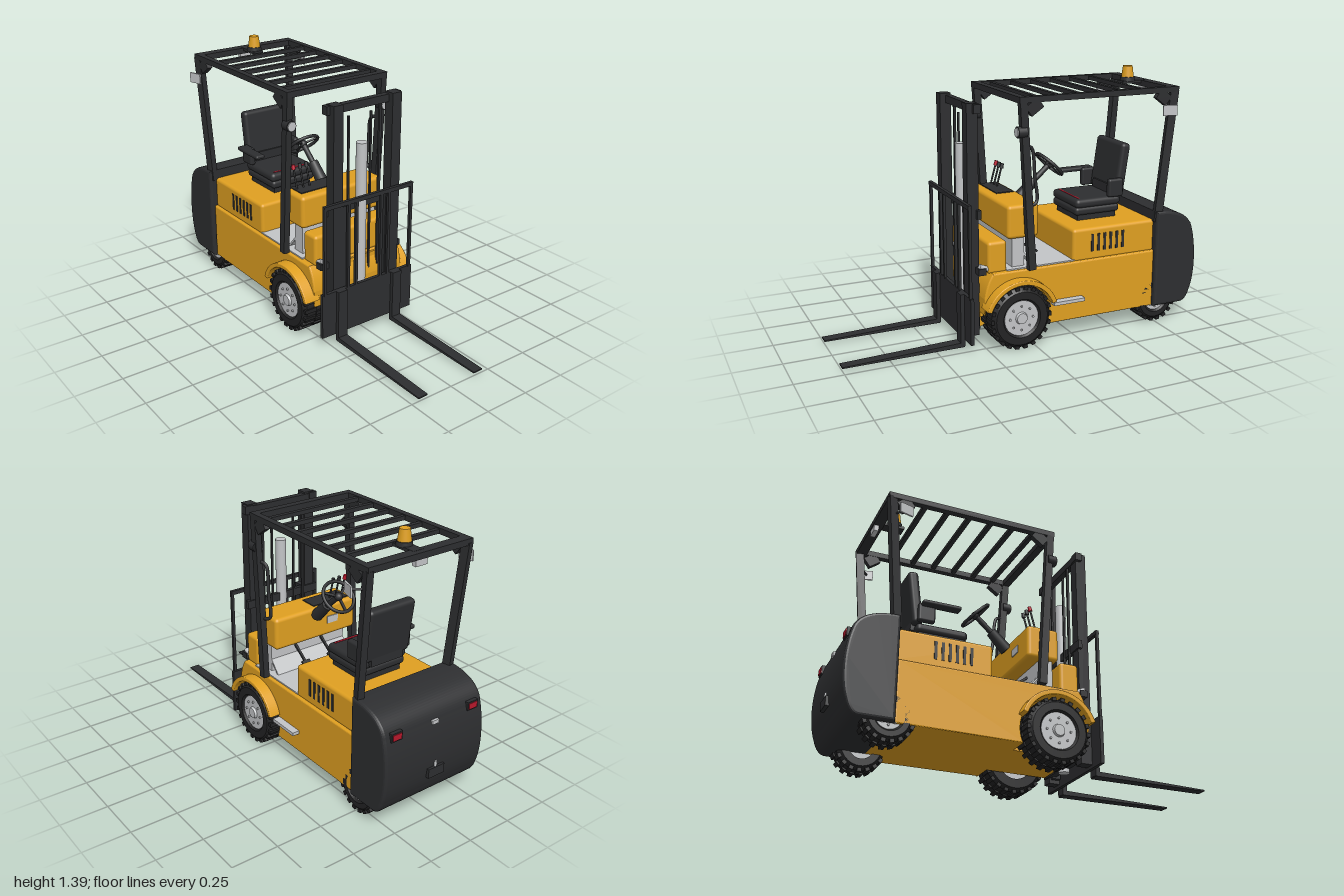
import * as THREE from 'three';
import { RoundedBoxGeometry } from 'three/addons/geometries/RoundedBoxGeometry.js';

const material = (name, color) => Object.assign(new THREE.MeshStandardMaterial({ color }), { name });
const V = (x, y, z) => new THREE.Vector3(x, y, z);

export function createModel() {
  const root = new THREE.Group();
  root.name = 'forklift';
  const yellow = material('yellow paint', 0xe0a021);
  const dark = material('dark steel', 0x2d2e30);
  const rubber = material('black rubber', 0x232324);
  const grey = material('light grey metal', 0xc3c5c7);
  const red = material('red', 0xb8182c);

  // ---- helpers ----
  const add = (name, geo, mat, x = 0, y = 0, z = 0, parent = root) => {
    const m = new THREE.Mesh(geo, mat);
    m.name = name;
    m.position.set(x, y, z);
    parent.add(m);
    return m;
  };
  // box given by its extents on each axis
  const box = (name, mat, [x0, x1], [y0, y1], [z0, z1], r = 0) => {
    const s = [x1 - x0, y1 - y0, z1 - z0];
    const geo = r ? new RoundedBoxGeometry(...s, 3, r) : new THREE.BoxGeometry(...s);
    return add(name, geo, mat, (x0 + x1) / 2, (y0 + y1) / 2, (z0 + z1) / 2);
  };
  const strut = (name, mat, a, b, w, h) => {
    const mid = a.clone().lerp(b, 0.5);
    const m = add(name, new THREE.BoxGeometry(w, h, a.distanceTo(b)), mat, mid.x, mid.y, mid.z);
    m.lookAt(b);
    return m;
  };
  const rod = (name, mat, a, b, r, r2 = r, sides = 16) => {
    const mid = a.clone().lerp(b, 0.5);
    const m = add(name, new THREE.CylinderGeometry(r2, r, a.distanceTo(b), sides), mat, mid.x, mid.y, mid.z);
    m.quaternion.setFromUnitVectors(V(0, 1, 0), b.clone().sub(a).normalize());
    return m;
  };
  // side outline (z, y) extruded across x
  const sideExtrude = (shape, width, bevel = 0) => {
    const geo = new THREE.ExtrudeGeometry(shape, {
      depth: width - 2 * bevel, bevelEnabled: bevel > 0, bevelSize: bevel,
      bevelThickness: bevel, bevelOffset: -bevel, bevelSegments: 3, curveSegments: 20,
    });
    return geo.translate(0, 0, bevel - width / 2).rotateY(-Math.PI / 2);
  };
  const both = (fn) => [-1, 1].forEach(fn);
  const span = (c, w) => [c - w / 2, c + w / 2];

  // ---- chassis with wheel arches ----
  const wz = 0.085, wy = 0.175;
  const body = new THREE.Shape();
  body.moveTo(-0.73, 0.1);
  body.lineTo(-0.085, 0.1);
  body.absarc(wz, wy, 0.186, Math.PI + 0.41, 0.13, true);
  body.lineTo(0.272, 0.29);
  body.quadraticCurveTo(0.262, 0.37, 0.225, 0.42);
  body.lineTo(-0.73, 0.42);
  add('chassis', sideExtrude(body, 0.58, 0.008), yellow);
  box('chassisCore', yellow, [-0.17, 0.17], [0.1, 0.4], [-0.15, 0.25]);
  const arch = new THREE.Shape();
  arch.absarc(wz, wy, 0.207, 0.33, Math.PI - 0.33, false);
  arch.absarc(wz, wy, 0.182, Math.PI - 0.33, 0.33, true);
  both((s) => add('fender', sideExtrude(arch, 0.09, 0.005), yellow, s * 0.305));

  // ---- hood, vents, cowl, floor ----
  box('hood', yellow, [-0.272, 0.272], [0.41, 0.59], [-0.74, -0.24], 0.018);
  both((s) => {
    for (let i = 0; i < 6; i++)
      box('hoodVent', dark, span(s * 0.272, 0.006), [0.46, 0.555], span(-0.355 - i * 0.037, 0.015));
  });
  box('lowerCowl', yellow, [-0.26, 0.26], [0.41, 0.58], [0.135, 0.24], 0.018);
  box('dashboard', yellow, [-0.26, 0.26], [0.58, 0.757], [-0.045, 0.13], 0.02);
  box('dashPlate', grey, [-0.14, -0.07], [0.65, 0.69], [-0.05, -0.044]);
  box('dashTray', dark, [-0.23, 0.0], [0.753, 0.762], [-0.02, 0.08]);
  box('floor', grey, [-0.272, 0.272], [0.415, 0.427], [-0.25, 0.14]);
  box('bulkhead', grey, [-0.24, 0.24], [0.42, 0.585], [0.03, 0.1]);
  strut('toePlate', grey, V(0, 0.42, -0.03), V(0, 0.5, 0.04), 0.48, 0.01);
  both((s) => {
    strut('pedalArm', dark, V(s * 0.085, 0.54, 0.03), V(s * 0.085, 0.46, -0.08), 0.012, 0.012);
    strut('pedal', dark, V(s * 0.085, 0.48, -0.06), V(s * 0.085, 0.445, -0.11), 0.05, 0.012);
  });

  // ---- counterweight and rear fittings ----
  const cw = new THREE.Shape();
  cw.moveTo(-0.73, 0.1);
  cw.lineTo(-0.73, 0.64);
  cw.bezierCurveTo(-0.86, 0.645, -0.95, 0.6, -0.965, 0.52);
  cw.bezierCurveTo(-0.995, 0.42, -1.0, 0.26, -0.965, 0.17);
  cw.quadraticCurveTo(-0.945, 0.1, -0.9, 0.1);
  cw.closePath();
  add('counterweight', sideExtrude(cw, 0.625, 0.015), dark);
  both((s) => {
    box('tailLightHousing', dark, span(s * 0.24, 0.065), [0.5, 0.545], [-0.977, -0.94]);
    box('tailLight', red, span(s * 0.24, 0.052), [0.507, 0.538], [-0.981, -0.975]);
  });
  box('rearLatch', grey, [-0.02, 0.02], [0.505, 0.525], [-0.977, -0.96]);
  box('towHitch', dark, [-0.05, 0.05], [0.23, 0.28], [-1.0, -0.96]);
  rod('towPin', grey, V(0, 0.27, -0.99), V(0, 0.31, -0.99), 0.007);

  // ---- wheels ----
  const wheel = (name, r, w, hub, x, y, z, lugs) => {
    const g = new THREE.Group();
    g.name = name;
    g.position.set(x, y, z);
    g.rotation.z = x > 0 ? -Math.PI / 2 : Math.PI / 2;
    root.add(g);
    const h = w / 2, t = r - 0.008;
    const pts = [[hub, -h], [t - 0.02, -h], [t, -h + 0.02], [t, h - 0.02], [t - 0.02, h], [hub + 0.01, h], [hub, h - 0.012]];
    add('tyre', new THREE.LatheGeometry(pts.map((p) => new THREE.Vector2(...p)), 40).toNonIndexed(), rubber, 0, 0, 0, g).geometry.computeVertexNormals();
    for (let i = 0; i < lugs; i++) {
      const a = (i / lugs) * Math.PI * 2;
      both((s) => {
        const b = a + (s > 0 ? Math.PI / lugs : 0);
        const m = add('treadLug', new THREE.BoxGeometry(0.018, w * 0.47, 0.022), rubber,
          Math.cos(b) * (r - 0.01), s * w * 0.235, Math.sin(b) * (r - 0.01), g);
        m.rotation.y = -b;
      });
    }
    add('rim', new THREE.CylinderGeometry(hub, hub, w - 0.02, 32), grey, 0, 0, 0, g);
    add('hubCap', new THREE.CylinderGeometry(hub * 0.3, hub * 0.36, 0.015, 24), grey, 0, h - 0.005, 0, g);
    for (let i = 0; i < 8; i++) {
      const a = (i / 8) * Math.PI * 2;
      add('wheelNut', new THREE.CylinderGeometry(0.006, 0.006, 0.01, 6), grey,
        Math.cos(a) * hub * 0.68, h - 0.007, Math.sin(a) * hub * 0.68, g);
    }
  };
  both((s) => {
    wheel('frontWheel', 0.172, 0.15, 0.095, s * 0.263, wy, wz, 22);
    wheel('rearWheel', 0.13, 0.12, 0.065, s * 0.23, 0.134, -0.755, 18);
  });
  rod('frontAxle', dark, V(-0.2, wy, wz), V(0.2, wy, wz), 0.04);

  // ---- mast ----
  both((s) => {
    box('outerMastRail', dark, span(s * 0.182, 0.058), [0.07, 1.285], [0.27, 0.33]);
    box('innerMastRail', dark, span(s * 0.14, 0.026), [0.09, 0.75], [0.28, 0.325]);
    box('mastTopBlock', dark, span(s * 0.205, 0.05), [1.235, 1.28], [0.262, 0.3]);
    box('liftChain', dark, span(s * 0.13, 0.014), [0.2, 1.225], span(0.26, 0.012));
    box('hose', dark, span(s * 0.07, 0.01), [0.2, 1.195], span(0.262, 0.01));
    rod('tiltCylinder', grey, V(s * 0.24, 0.42, 0.2), V(s * 0.24, 0.455, 0.28), 0.013);
    box('tiltBracket', dark, span(s * 0.235, 0.05), [0.41, 0.445], [0.25, 0.29]);
  });
  box('mastTopBeam', dark, [-0.2, 0.2], [1.235, 1.275], [0.265, 0.3]);
  box('mastMidBeam', dark, [-0.23, 0.23], [0.7, 0.745], [0.262, 0.285]);
  box('mastLowBeam', dark, [-0.2, 0.2], [0.1, 0.16], [0.262, 0.3]);
  rod('liftCylinder', grey, V(0, 0.08, 0.28), V(0, 1.05, 0.28), 0.029, 0.029, 28);

  // ---- carriage, load backrest and forks ----
  box('carriagePlate', dark, [-0.295, 0.295], [0.055, 0.305], [0.333, 0.352]);
  box('backrestTopBar', dark, [-0.285, 0.285], [0.77, 0.792], [0.338, 0.356]);
  both((s) => {
    [0.278, 0.13, 0.08].forEach((x) =>
      box('backrestBar', dark, span(s * x, 0.016), [0.3, 0.78], [0.339, 0.354]));
    box('forkShank', dark, span(s * 0.18, 0.057), [0.02, 0.305], [0.35, 0.373]);
    const blade = new THREE.Shape([[0.352, 0.015], [1, 0.017], [1, 0.024], [0.372, 0.04], [0.352, 0.04]]
      .map((p) => new THREE.Vector2(...p)));
    add('forkBlade', sideExtrude(blade, 0.057), dark, s * 0.18);
  });

  // ---- overhead guard ----
  both((s) => {
    const x = s * 0.297;
    strut('frontPost', dark, V(x, 0.42, 0.014), V(x, 1.29, 0.068), 0.034, 0.04);
    strut('rearPost', dark, V(x * 0.95, 0.58, -0.745), V(x, 1.295, -0.81), 0.034, 0.044);
    box('roofSideRail', dark, span(x, 0.034), [1.285, 1.315], [-0.83, 0.09]);
    strut('frontGusset', dark, V(x, 1.24, 0.04), V(x, 1.285, -0.025), 0.03, 0.06);
    strut('rearGusset', dark, V(x, 1.24, -0.77), V(x, 1.285, -0.71), 0.03, 0.06);
    // headlights and mirrors
    rod('headlightHousing', dark, V(x, 1.14, 0.05), V(x, 1.14, 0.098), 0.029, 0.029, 20);
    rod('headlightLens', grey, V(x, 1.14, 0.095), V(x, 1.14, 0.103), 0.023, 0.023, 20);
    rod('mirrorArm', dark, V(s * 0.3, 1.2, -0.79), V(s * 0.352, 1.2, -0.75), 0.006);
    const m = add('mirror', new THREE.BoxGeometry(0.009, 0.055, 0.075), grey, s * 0.358, 1.2, -0.75);
    m.rotation.y = -s * 0.28;
  });
  box('roofFrontBeam', dark, [-0.3, 0.3], [1.283, 1.315], [0.05, 0.09]);
  box('roofRearBeam', dark, [-0.3, 0.3], [1.283, 1.315], [-0.83, -0.775]);
  for (let i = 0; i < 6; i++)
    box('roofSlat', dark, [-0.29, 0.29], [1.288, 1.31], span(-0.02 - i * 0.122, 0.024));
  box('rearLamp', grey, [-0.035, 0.035], [1.25, 1.283], [-0.825, -0.8]);
  box('beaconBracket', dark, [-0.03, 0.03], [1.3, 1.316], [-0.8, -0.66]);
  rod('beaconBase', dark, V(0, 1.312, -0.705), V(0, 1.335, -0.705), 0.041, 0.038, 24);
  rod('beacon', yellow, V(0, 1.335, -0.705), V(0, 1.395, -0.705), 0.034, 0.026, 24);

  // ---- seat ----
  box('seatBase', dark, [-0.12, 0.12], [0.585, 0.63], [-0.58, -0.345]);
  box('seatLowerPad', dark, [-0.14, 0.14], [0.62, 0.665], [-0.595, -0.325], 0.018);
  box('seatCushion', dark, [-0.145, 0.145], [0.66, 0.71], [-0.6, -0.325], 0.022);
  box('seatStripe', red, [-0.115, 0.115], [0.706, 0.712], [-0.358, -0.349]);
  const back = add('seatBack', new RoundedBoxGeometry(0.285, 0.29, 0.055, 3, 0.02), dark, 0, 0.85, -0.61);
  back.rotation.x = -0.14;
  box('seatBackMount', dark, [-0.1, 0.1], [0.68, 0.76], [-0.62, -0.56]);
  both((s) => box('seatHinge', dark, span(s * 0.15, 0.035), [0.71, 0.81], [-0.6, -0.51], 0.012));
  box('armrest', dark, [-0.205, -0.15], [0.79, 0.813], [-0.59, -0.385], 0.01);
  // ---- steering and controls ----
  const hubPos = V(0, 0.89, -0.232), axis = V(0, 0.72, -0.69).normalize();
  rod('steeringColumn', dark, V(0, 0.72, -0.05), V(0, 0.81, -0.14), 0.034, 0.028);
  rod('steeringShaft', dark, V(0, 0.8, -0.13), hubPos, 0.015);
  const sw = new THREE.Group();
  sw.name = 'steeringWheel';
  sw.position.copy(hubPos);
  sw.quaternion.setFromUnitVectors(V(0, 0, 1), axis);
  root.add(sw);
  add('steeringRim', new THREE.TorusGeometry(0.087, 0.009, 10, 40), dark, 0, 0, 0, sw);
  add('steeringHub', new THREE.SphereGeometry(0.022, 16, 10), dark, 0, 0, 0, sw);
  for (let i = 0; i < 3; i++) {
    const a = Math.PI / 2 + (i * Math.PI * 2) / 3;
    const sp = add('steeringSpoke', new THREE.BoxGeometry(0.085, 0.014, 0.008), dark, Math.cos(a) * 0.043, Math.sin(a) * 0.043, 0, sw);
    sp.rotation.z = a;
  }
  [-0.215, -0.175, -0.135].forEach((x, i) => {
    rod('controlLever', dark, V(x, 0.755, 0.02), V(x, 0.865, -0.01), 0.005);
    rod('leverKnob', i ? dark : red, V(x, 0.86, -0.009), V(x, 0.885, -0.015), 0.011, 0.009);
  });
  const grab = new THREE.CatmullRomCurve3([V(0.29, 0.75, 0.03), V(0.278, 0.77, -0.02), V(0.278, 0.9, -0.01), V(0.278, 1.05, 0.008), V(0.29, 1.065, 0.045)]);
  add('grabHandle', new THREE.TubeGeometry(grab, 30, 0.009, 10), dark);
  box('sideStep', grey, [0.28, 0.33], [0.21, 0.228], [-0.285, -0.105]);
  return root;
}
